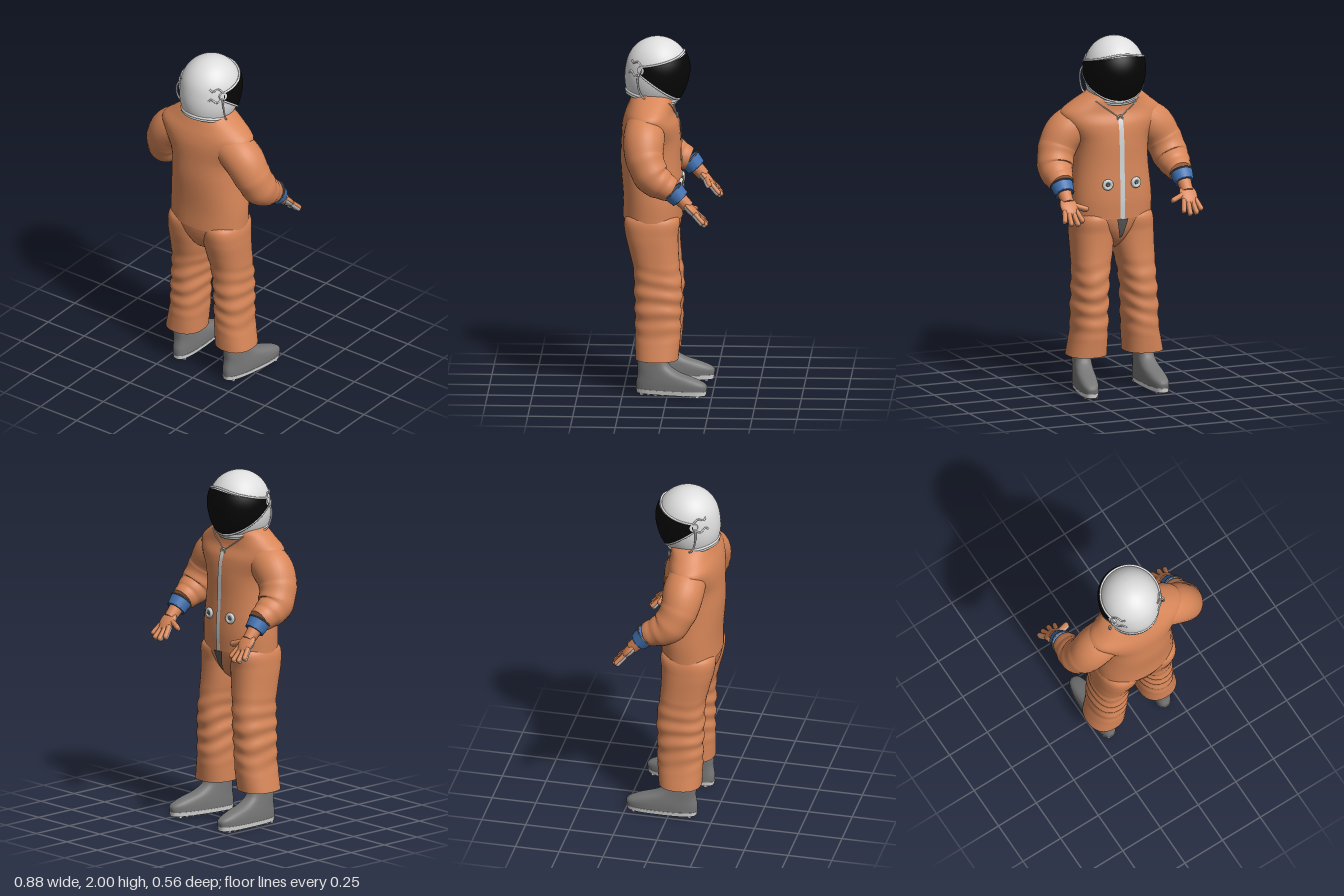
import * as THREE from 'three';

const mat = (name, color, side = THREE.FrontSide) => {
  const m = new THREE.MeshStandardMaterial({ color, side });
  m.name = name;
  return m;
};
const V = (x, y, z) => new THREE.Vector3(x, y, z);

// Smooth interpolation of table rows; the first column is the key
function sect(rows, key) {
  let i = 0;
  while (i < rows.length - 2 && key > rows[i + 1][0]) i++;
  const a = rows[i], b = rows[i + 1], p = rows[i - 1] || a, n = rows[i + 2] || b;
  const h = b[0] - a[0], t = (key - a[0]) / h, t2 = t * t, t3 = t2 * t;
  return a.map((v, c) => {
    const m0 = (b[c] - p[c]) / (b[0] - p[0]) * h, m1 = (n[c] - v) / (n[0] - a[0]) * h;
    return (2 * t3 - 3 * t2 + 1) * v + (t3 - 2 * t2 + t) * m0 + (3 * t2 - 2 * t3) * b[c] + (t3 - t2) * m1;
  });
}

// Skin over closed rings, with flat end caps
function loft(rings) {
  const pos = [], idx = [], n = rings[0].length;
  const put = p => pos.push(p.x, p.y, p.z) / 3 - 1;
  rings.forEach(r => r.forEach(put));
  for (let i = 0; i < rings.length - 1; i++) for (let j = 0; j < n; j++) {
    const a = i * n + j, b = i * n + (j + 1) % n;
    idx.push(a, b, b + n, a, b + n, a + n);
  }
  [rings[0], rings[rings.length - 1]].forEach((r, end) => {
    const c = put(r.reduce((s, p) => s.add(p), V(0, 0, 0)).divideScalar(n));
    r.forEach(put);
    for (let j = 0; j < n; j++) {
      const a = c + 1 + j, b = c + 1 + (j + 1) % n;
      end ? idx.push(c, a, b) : idx.push(c, b, a);
    }
  });
  const g = new THREE.BufferGeometry();
  g.setAttribute('position', new THREE.Float32BufferAttribute(pos, 3));
  g.setIndex(idx);
  g.computeVertexNormals();
  return g;
}

// Stack of level ovals from rows [y, cx, cz, rx, rz]
function stack(rows, levels, power = 2.3, fold = () => 0) {
  const y0 = rows[0][0], y1 = rows[rows.length - 1][0], rings = [];
  const se = v => Math.sign(v) * Math.abs(v) ** (2 / power);
  for (let i = 0; i <= levels; i++) {
    const y = y0 + (y1 - y0) * i / levels, [, cx, cz, rx, rz] = sect(rows, y), ring = [];
    for (let j = 0; j < 40; j++) {
      const a = j / 40 * Math.PI * 2, f = fold(y, a);
      ring.push(V(cx + (rx + f) * se(Math.cos(a)), y, cz - (rz + f) * se(Math.sin(a))));
    }
    rings.push(ring);
  }
  return loft(rings);
}

function warp(g, fn) {
  const p = g.attributes.position, uv = g.attributes.uv;
  for (let i = 0; i < p.count; i++) {
    const q = fn(uv.getX(i), uv.getY(i));
    p.setXYZ(i, q.x, q.y, q.z);
  }
  g.computeVertexNormals();
  return g;
}
const tube = (pts, r) => new THREE.TubeGeometry(new THREE.CatmullRomCurve3(pts), 40, r, 7);

export function createModel() {
  const root = new THREE.Group();
  root.name = 'spaceSuit';
  const orange = mat('suitOrange', 0xd78658), white = mat('helmetWhite', 0xdedede);
  const black = mat('visorBlack', 0x060606), grey = mat('bootGrey', 0x777777);
  const blue = mat('cuffBlue', 0x4272b2), dark = mat('sealDarkGrey', 0x5a5a5a, THREE.DoubleSide);
  const silver = mat('trimSilver', 0xd0d4d4, THREE.DoubleSide), palmGrey = mat('palmGrey', 0xb4b4b4);
  const add = (name, geo, m, parent = root) => {
    const o = new THREE.Mesh(geo, m);
    o.name = name;
    parent.add(o);
    return o;
  };
  const group = (name, x, y, z) => {
    const o = new THREE.Group();
    o.name = name;
    o.position.set(x, y, z);
    root.add(o);
    return o;
  };

  // Torso with sloping shoulders; the suit faces -z
  const torso = [[.985, 0, .09, .232, .166], [1.1, 0, .088, .232, .168], [1.3, 0, .1, .215, .17],
    [1.42, 0, .1, .222, .167], [1.52, 0, .103, .275, .158], [1.58, 0, .108, .292, .138], [1.63, 0, .1, .235, .125],
    [1.675, -.01, .09, .17, .115], [1.7, -.01, .09, .13, .1]];
  add('torso', stack(torso, 60, 2.2), orange);
  add('crotch', stack([[.8, 0, .09, .02, .05], [.84, 0, .09, .06, .105], [.9, 0, .09, .12, .143],
    [.95, 0, .09, .175, .159], [.99, 0, .09, .222, .165]], 20, 2.2), orange);
  const front = (x, y) => {
    const [, cx, cz, rx, rz] = sect(torso, y);
    return cz - rz * (1 - Math.min(1, Math.abs((x - cx) / rx)) ** 2.2) ** (1 / 2.2);
  };
  add('zipper', warp(new THREE.PlaneGeometry(1, 1, 4, 30), (u, v) => {
    const y = .985 + .565 * v, x = (.5 - u) * .028;
    return V(x, y, front(x, y) - .006);
  }), silver);
  add('zipperFlap', warp(new THREE.PlaneGeometry(1, 1, 4, 10), (u, v) =>
    V((.5 - u) * (.012 + .055 * v), .87 + .115 * v, -.043 - .042 * Math.sqrt(v))), dark);
  add('zipperPull', new THREE.TorusGeometry(.014, .005, 6, 14), silver).position.set(0, 1.555, front(0, 1.555) - .006);

  // Chest valves and neck cord
  for (const s of [-1, 1]) {
    const valve = group('chestValve', s * .085, 1.185, front(.085, 1.185) - .005);
    valve.rotation.y = -s * .15;
    add('valveRing', new THREE.TorusGeometry(.021, .011, 8, 20), silver, valve);
    add('valveCore', new THREE.CylinderGeometry(.008, .015, .018, 16), grey, valve).rotation.x = -Math.PI / 2;
    const pts = [0, .045, .09, .13].map((x, i) => V(s * x, 1.555 + i * .033, front(s * x, 1.555 + i * .033) - .003));
    add('neckCord', tube(pts, .003), palmGrey);
  }

  // Helmet: shell, visor, rims and neck ring, tipped forward and turned slightly
  const helmet = group('helmet', -.012, 1.823, .066);
  helmet.rotation.set(-.2, -.06, 0, 'YXZ');
  helmet.scale.z = 1.05;
  const R = y => y > 0 ? .168 * Math.sqrt(Math.max(0, 1 - (y / .178) ** 2)) : .168 - .03 * (-y / .155) ** 2.5;
  const profile = [];
  for (let i = 0; i < 8; i++) profile.push(-.155 + i * .155 / 8);
  for (let i = 0; i <= 14; i++) profile.push(.178 * Math.sin(i / 14 * Math.PI / 2));
  add('shell', new THREE.LatheGeometry(profile.map(y => new THREE.Vector2(R(y), y)), 48), white, helmet);
  const visorPoint = (u, v, lift) => {
    const a = (1 - 2 * u) * 2, k = (Math.cos(a) + .42) / 1.42;
    const y = THREE.MathUtils.lerp(-.024 - .113 * k, .02 + .1 * k, v), r = R(y) + lift;
    return V(r * Math.sin(a), y, -r * Math.cos(a));
  };
  add('visor', warp(new THREE.PlaneGeometry(1, 1, 48, 16), (u, v) => visorPoint(u, v, .008)), black, helmet);
  for (const v of [-.03, 1.03]) {
    const pts = [];
    for (let i = 0; i <= 24; i++) pts.push(visorPoint(i / 24, v, .005));
    add('visorRim', tube(pts, .006), white, helmet);
  }
  for (const [y, r, m] of [[-.152, .138, white], [-.165, .134, silver]]) {
    const ring = add('neckRing', new THREE.TorusGeometry(r, .009, 8, 48), m, helmet);
    ring.rotation.x = Math.PI / 2;
    ring.position.y = y;
  }
  for (const s of [-1, 1]) {
    // Visor hinge, latch arms and breathing hose
    const hinge = add('visorHinge', new THREE.CylinderGeometry(.022, .026, .014, 16), white, helmet);
    hinge.position.set(s * .152, 0, .073);
    hinge.rotation.set(0, -s * .45, -s * Math.PI / 2);
    for (const [y0, y1] of [[.01, .04], [-.005, -.04]])
      add('latchArm', tube([2.0, 2.2, 2.4, 2.5].map((a, i) => {
        const y = y0 + (y1 - y0) * [.2, 1, .5, .9][i];
        return V(s * (R(y) + .002) * Math.sin(a), y, -(R(y) + .002) * Math.cos(a));
      }), .005), white, helmet);
    add('hose', tube([V(s * .152, -.01, .08), V(s * .168, -.05, .08), V(s * .171, -.11, .06),
      V(s * .162, -.148, .03), V(s * .138, -.155, 0)], .005), white, helmet);
  }

  for (const s of [-1, 1]) {
    const side = s > 0 ? 'left' : 'right', reach = s > 0 ? 0 : 1;

    // Sleeve swept along a bent arm, rows [t, x, y, z, radius]; the right one reaches further forward
    const arm = [[0, .1, 1.55, .125, .1], [1, .245, 1.475, .128, .115], [2, .31, 1.38, .122, .107],
      [3, .34, 1.28, .078, .1], [4, .345, 1.235, .02, .084], [5, .345, 1.205, -.035, .066]]
      .map(([t, x, y, z, r]) => [t, s * x, y + reach * t * .004, z - reach * (.025 + t * .007), r]);
    const rings = [];
    for (let i = 0; i <= 50; i++) {
      const t = i / 10, [, x, y, z, r0] = sect(arm, t);
      const [, ax, ay, az] = sect(arm, t - .02), [, bx, by, bz] = sect(arm, t + .02);
      const T = V(bx - ax, by - ay, bz - az).normalize(), U = V(s * .5, .8, -.6);
      U.addScaledVector(T, -U.dot(T)).normalize();
      const W = T.clone().cross(U), ring = [];
      const r = r0 * (1 + (t > 2 ? .018 * Math.sin(t * 7) : 0));
      for (let j = 0; j < 28; j++) {
        const a = j / 28 * Math.PI * 2;
        ring.push(V(x, y, z).addScaledVector(U, r * Math.cos(a)).addScaledVector(W, r * Math.sin(a)));
      }
      rings.push(ring);
    }
    add(side + 'Sleeve', loft(rings), orange);

    // Cuff and glove: local -z points to the fingers, +y is the back of the hand
    const glove = group(side + 'Glove', s * .35, 1.2 + reach * .02, -.04 - reach * .056);
    glove.rotation.x = reach ? -.84 : -.8;
    const lying = (name, geo, m, z) => {
      const o = add(name, geo, m, glove);
      o.rotation.x = -Math.PI / 2;
      o.position.z = z;
    };
    lying('cuff', new THREE.CylinderGeometry(.055, .064, .062, 28), blue, -.026);
    for (const [z, r, m] of [[.004, .064, dark], [-.055, .052, blue]])
      add('cuffSeal', new THREE.TorusGeometry(r, .0045, 8, 28), m, glove).position.z = z;
    lying('wrist', new THREE.CylinderGeometry(.035, .04, .07, 18), orange, -.085);
    for (const [m, lift, k] of [[orange, .004, 1], [palmGrey, -.006, .94]]) {
      const palm = add('palm', new THREE.SphereGeometry(1, 20, 14), m, glove);
      palm.scale.set(.052 * k, .02, .066 * k);
      palm.position.set(0, lift, -.142);
      const digits = [[-.036, .066, .26], [-.012, .084, .1], [.012, .08, -.08], [.035, .06, -.26]];
      const finger = (name, x, z, len, turn, r) => {
        const g = new THREE.CapsuleGeometry(r * k, len, 5, 10).rotateX(-Math.PI / 2).translate(0, 0, -len / 2);
        const o = add(name, g, m, glove);
        o.position.set(x, lift, z);
        o.rotation.y = turn;
      };
      for (const [x, len, turn] of digits) finger('finger', s * x, -.176, len, s * turn, .0138);
      finger('thumb', -s * .025, -.135, .078, s * 1.15, .015);
    }

    // Trouser leg with folds round the knee
    const out = s > 0 ? 0 : .02;
    const leg = [[.2, .162, .06, .112, .12], [.35, .147, .055, .1, .128], [.45, .145, .055, .1, .128],
      [.6, .14, .055, .098, .134], [.7, .132, .062, .104, .13], [.8, .123, .077, .114, .137],
      [.9, .119, .09, .119, .148], [.985, .115, .09, .116, .153], [1.03, .1, .09, .1, .12]]
      .map(([y, x, z, rx, rz]) => [y, s * (x + out * (1 - y)), z, rx, rz]);
    const fold = (y, a) => {
      const w = Math.max(0, Math.sin((y - .28) / .48 * Math.PI));
      return y < .28 || y > .76 ? 0 : .0045 * w * Math.sin(y * 68 + 1.5 * Math.sin(a + s) + .9 * Math.sin(2 * a + y * 9));
    };
    add(side + 'Leg', stack(leg, 90, 2.3, fold), orange);

    // Boot with pale sole edge, grey underside and pale treads
    const boot = group(side + 'Boot', s > 0 ? .194 : -.185, 0, s > 0 ? .014 : -.005);
    boot.rotation.y = s > 0 ? -.2 : 0;
    add('bootUpper', stack([[.03, 0, -.038, .056, .2], [.07, 0, -.037, .057, .2], [.1, 0, -.01, .055, .168],
      [.13, 0, .034, .052, .12], [.17, 0, .066, .05, .09], [.25, 0, .078, .05, .08]], 26, 2.7), grey, boot);
    add('sole', stack([[.012, 0, -.038, .054, .198], [.034, 0, -.038, .058, .202]], 2, 2.7), white, boot);
    add('underside', stack([[.008, 0, -.038, .052, .196], [.014, 0, -.038, .052, .196]], 1, 2.7), grey, boot);
    for (let i = 0; i < 9; i++)
      add('tread', new THREE.BoxGeometry(.075, .01, .016), white, boot).position.set(0, .005, .125 - i * .04);
  }
  return root;
}
